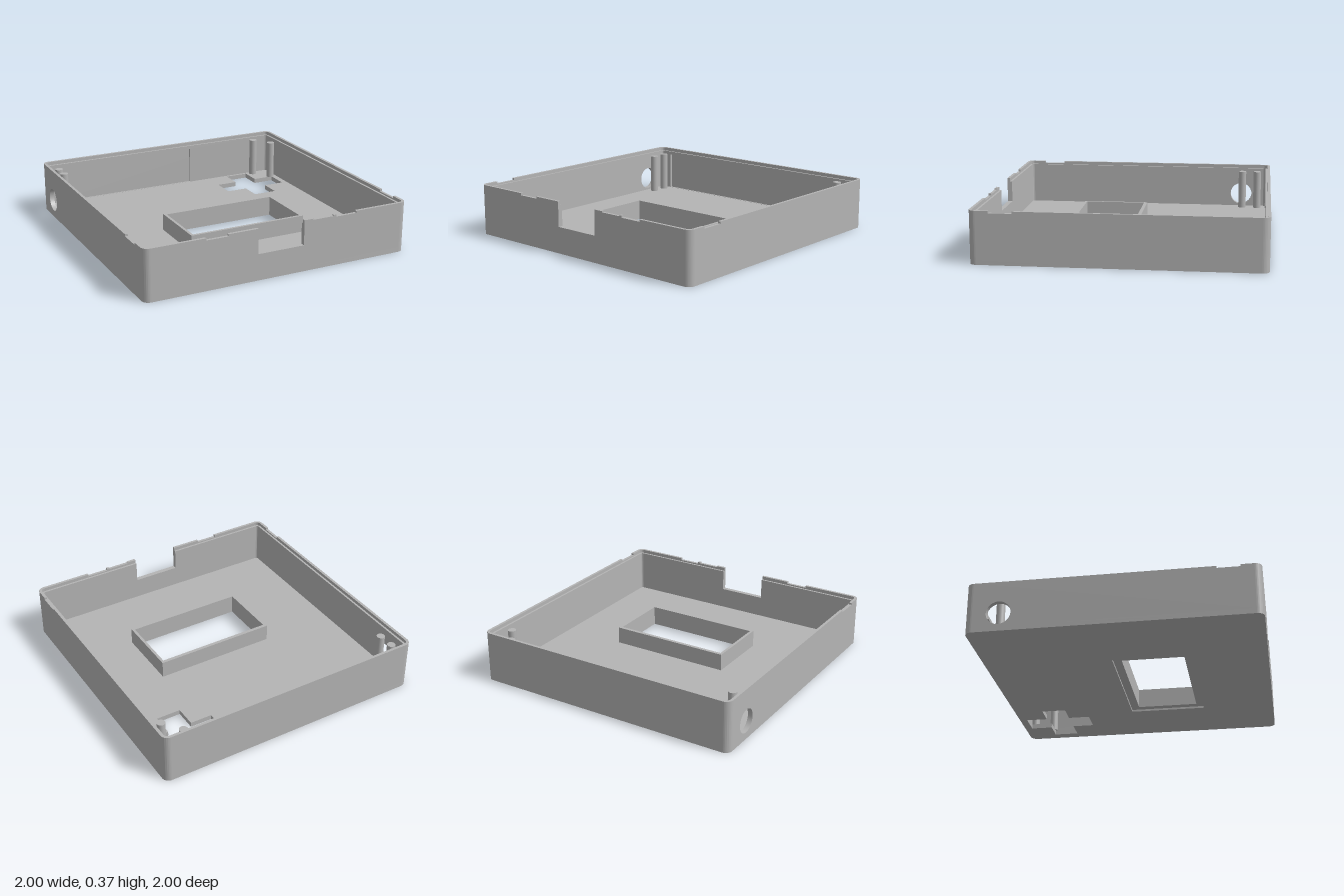
import * as THREE from 'three';
import { toCreasedNormals } from 'three/addons/utils/BufferGeometryUtils.js';

const H = 0.37, FLOOR = 0.035, R = 0.05, EDGE = 1 - R;

// Trace a closed outline from [x, y] points
function outline(points, Type = THREE.Shape) {
  return new Type(points.map(([x, y]) => new THREE.Vector2(x, y)));
}
const rect = (x0, x1, y0, y1, Type) =>
  outline([[x0, y0], [x1, y0], [x1, y1], [x0, y1]], Type);

function extrude(shape, depth) {
  const g = new THREE.ExtrudeGeometry(shape, { depth, bevelEnabled: false, curveSegments: 20 });
  return toCreasedNormals(g, 0.5);
}

// Horizontal slab: a shape drawn in (x, -z), raised from y0 to y1
function slab(shape, y0, y1) {
  return extrude(shape, y1 - y0).rotateX(-Math.PI / 2).translate(0, y0, 0);
}

// Rectangle hole given in x and z ranges
const holeXZ = (x0, x1, z0, z1) => rect(x0, x1, -z1, -z0, THREE.Path);

function roundedSquare() {
  const s = new THREE.Shape();
  s.absarc(EDGE, EDGE, R, 0, Math.PI / 2);
  s.absarc(-EDGE, EDGE, R, Math.PI / 2, Math.PI);
  s.absarc(-EDGE, -EDGE, R, Math.PI, Math.PI * 1.5);
  s.absarc(EDGE, -EDGE, R, Math.PI * 1.5, Math.PI * 2);
  s.closePath();
  return s;
}

// Wall elevation with notches [u0, u1, y] cut into its top edge, listed left to right
function elevation(top, notches = []) {
  const pts = [[EDGE, FLOOR], [EDGE, top]];
  for (const [u0, u1, y] of [...notches].reverse()) {
    pts.push([u1, top], [u1, y], [u0, y], [u0, top]);
  }
  pts.push([-EDGE, top], [-EDGE, FLOOR]);
  return outline(pts.reverse());
}

export function createModel() {
  const grey = new THREE.MeshStandardMaterial({ color: 0xb4b4b4 });
  grey.name = 'plainGrey';
  const model = new THREE.Group();
  model.name = 'enclosureTray';
  const add = (name, geometry, parent = model) => {
    const mesh = new THREE.Mesh(geometry, grey);
    mesh.name = name;
    parent.add(mesh);
    return mesh;
  };

  // Floor in two layers: the lower has a wider window, leaving a recess beneath
  const crossHole = () => {
    const a = 0.09, b = 0.25;
    const pts = [[a, a], [a, b], [-a, b], [-a, a], [-b, a], [-b, -a],
      [-a, -a], [-a, -b], [a, -b], [a, -a], [b, -a], [b, a]];
    return outline(pts.map(([x, y]) => [x + 0.672, y + 0.695]), THREE.Path);
  };
  const lower = roundedSquare();
  lower.holes.push(crossHole(), holeXZ(-0.43, 0.53, -0.09, 0.47));
  add('floorUnderside', slab(lower, 0, 0.015));
  const upper = roundedSquare();
  upper.holes.push(crossHole(), holeXZ(-0.38, 0.48, -0.03, 0.415));
  add('floor', slab(upper, 0.015, FLOOR));

  // Raised frame around the window
  const frame = rect(-0.4, 0.5, -0.435, 0.055);
  frame.holes.push(holeXZ(-0.38, 0.48, -0.03, 0.415));
  add('windowFrame', slab(frame, FLOOR, 0.16));

  // Walls: outer skin to the rim and a lower inner skin that forms the ledge
  const opening = [-0.18, 0.17, 0.19];
  const port = () => new THREE.Path().absarc(-0.77, 0.135, 0.085, 0, Math.PI * 2);
  const walls = [
    { name: 'frontWall', turn: 0, inner: [opening],
      outer: [[-0.56, -0.4, 0.355], opening, [0.24, 0.4, 0.362], [0.42, 0.58, 0.355]] },
    { name: 'leftWall', turn: Math.PI / 2, outer: [[-0.86, -0.7, 0.355]] },
    { name: 'backWall', turn: Math.PI,
      innerHoles: () => [rect(-0.25, 0.88, FLOOR + 0.001, 0.32, THREE.Path)] },
    { name: 'rightWall', turn: -Math.PI / 2, outer: [[0.7, 0.86, 0.355]],
      outerHoles: () => [port()], innerHoles: () => [port()] },
  ];
  for (const w of walls) {
    const side = new THREE.Group();
    side.name = w.name;
    side.rotation.y = w.turn;
    model.add(side);
    const outer = elevation(H, w.outer);
    if (w.outerHoles) outer.holes.push(...w.outerHoles());
    add('outerSkin', extrude(outer, 0.02).translate(0, 0, 0.98), side);
    const inner = elevation(0.345, w.inner);
    if (w.innerHoles) inner.holes.push(...w.innerHoles());
    add('innerSkin', extrude(inner, 0.015).translate(0, 0, 0.965), side);

    // Rounded corner joining this wall to the next
    for (const [name, r0, r1, top] of [['outerCorner', 0.03, R, H], ['innerCorner', 0.015, 0.03, 0.345]]) {
      const c = new THREE.Shape();
      c.absarc(EDGE, -EDGE, r1, -Math.PI / 2, 0);
      c.absarc(EDGE, -EDGE, r0, 0, -Math.PI / 2, true);
      c.closePath();
      add(name, slab(c, FLOOR, top), side);
    }
  }

  // Support pins in the two rear corners
  for (const [x, z] of [[-0.9, -0.9], [-0.9, -0.78], [0.82, -0.93], [0.915, -0.8]]) {
    const pin = add('supportPin', new THREE.CylinderGeometry(0.03, 0.03, 0.295, 32));
    pin.position.set(x, FLOOR + 0.1475, z);
  }
  return model;
}
